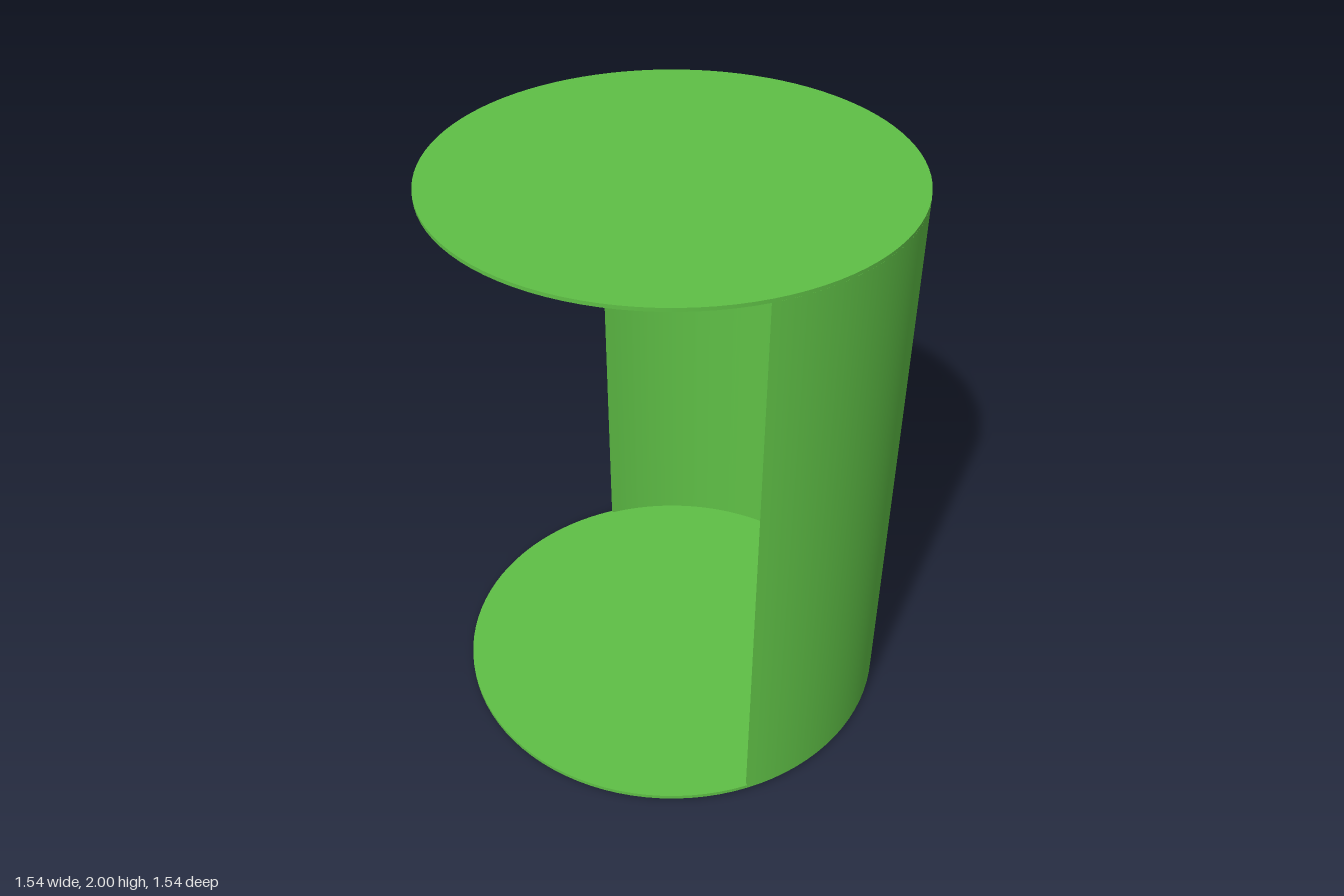
import * as THREE from 'three';
import { toCreasedNormals } from 'three/addons/utils/BufferGeometryUtils.js';

const R = 0.77, SIDES = 96, WALL = 0.01;
const BASE_TOP = 0.027, LID_BOTTOM = 1.988;

export function createModel() {
  const group = new THREE.Group();
  const green = new THREE.MeshStandardMaterial({ color: 0x5fc046 });

  const add = (name, geometry) => {
    const mesh = new THREE.Mesh(geometry, green);
    mesh.name = name;
    group.add(mesh);
  };
  const disc = (name, radius, y0, y1) => {
    const geometry = new THREE.CylinderGeometry(radius, radius, y1 - y0, SIDES);
    add(name, geometry.translate(0, (y0 + y1) / 2, 0));
  };

  // Round plates: recessed foot, base floor and lid
  disc('foot', 0.73, 0, 0.013);
  disc('base', R, 0.013, BASE_TOP);
  disc('lid', R, LID_BOTTOM, 2);

  // Thin half-cylinder wall on the +x side, joining base and lid
  const section = new THREE.Shape();
  section.absarc(0, 0, R, -Math.PI / 2, Math.PI / 2, false);
  section.absarc(0, 0, R - WALL, Math.PI / 2, -Math.PI / 2, true);
  section.closePath();
  const wall = new THREE.ExtrudeGeometry(section, {
    depth: LID_BOTTOM - BASE_TOP, bevelEnabled: false, curveSegments: SIDES / 2,
  });
  wall.rotateX(-Math.PI / 2).translate(0, BASE_TOP, 0);
  add('halfWall', toCreasedNormals(wall, 0.6));

  return group;
}
